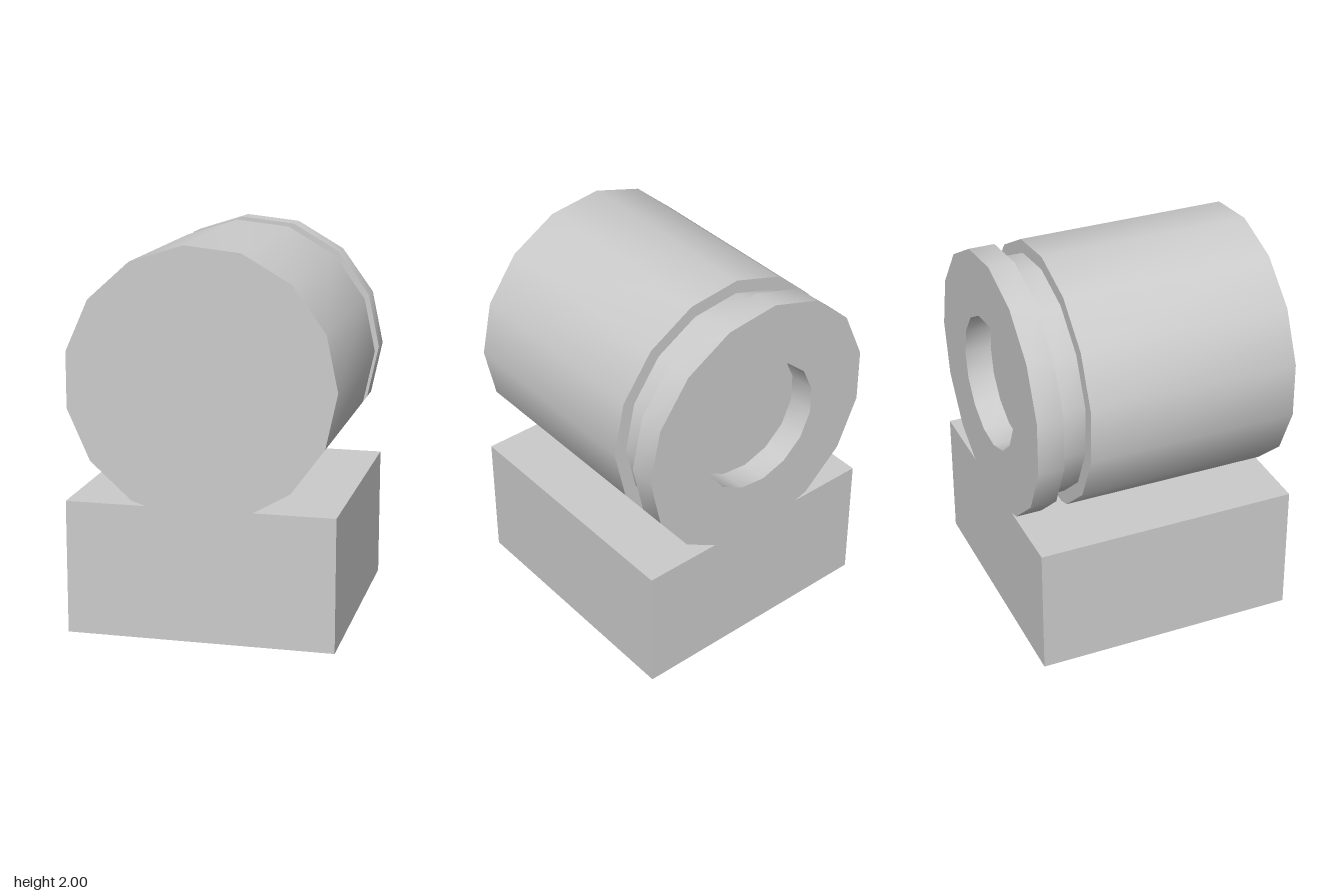
import * as THREE from 'three';
import { toCreasedNormals } from 'three/addons/utils/BufferGeometryUtils.js';

const R = 0.69;        // barrel radius and half the block's width
const AXIS_Y = 1.314;  // height of the barrel axis
const BLOCK_H = 0.693;
const SIDES = 15;

export function createModel() {
  const group = new THREE.Group();
  const material = new THREE.MeshStandardMaterial({ color: 0xcccccc });

  // square base block
  const base = new THREE.Mesh(new THREE.BoxGeometry(2 * R, BLOCK_H, 2 * R), material);
  base.name = 'baseBlock';
  base.position.y = BLOCK_H / 2;
  group.add(base);

  // barrel profile (radius, z): rear recess, rear flange, groove, main body
  const profile = [
    [0, -0.55], [0.35, -0.55], [0.35, -R], [R, -R], [R, -0.555],
    [0.62, -0.555], [0.62, -0.415], [R, -0.415], [R, R], [0, R],
  ].map(([r, z]) => new THREE.Vector2(r, z));

  // lay the lathe along z with one corner pointing to +x
  const lathe = new THREE.LatheGeometry(profile, SIDES);
  lathe.rotateX(Math.PI / 2).rotateZ(Math.PI / 2);

  const barrel = new THREE.Mesh(toCreasedNormals(lathe, 0.6), material);
  barrel.name = 'groovedBarrel';
  barrel.position.y = AXIS_Y;
  group.add(barrel);

  return group;
}
